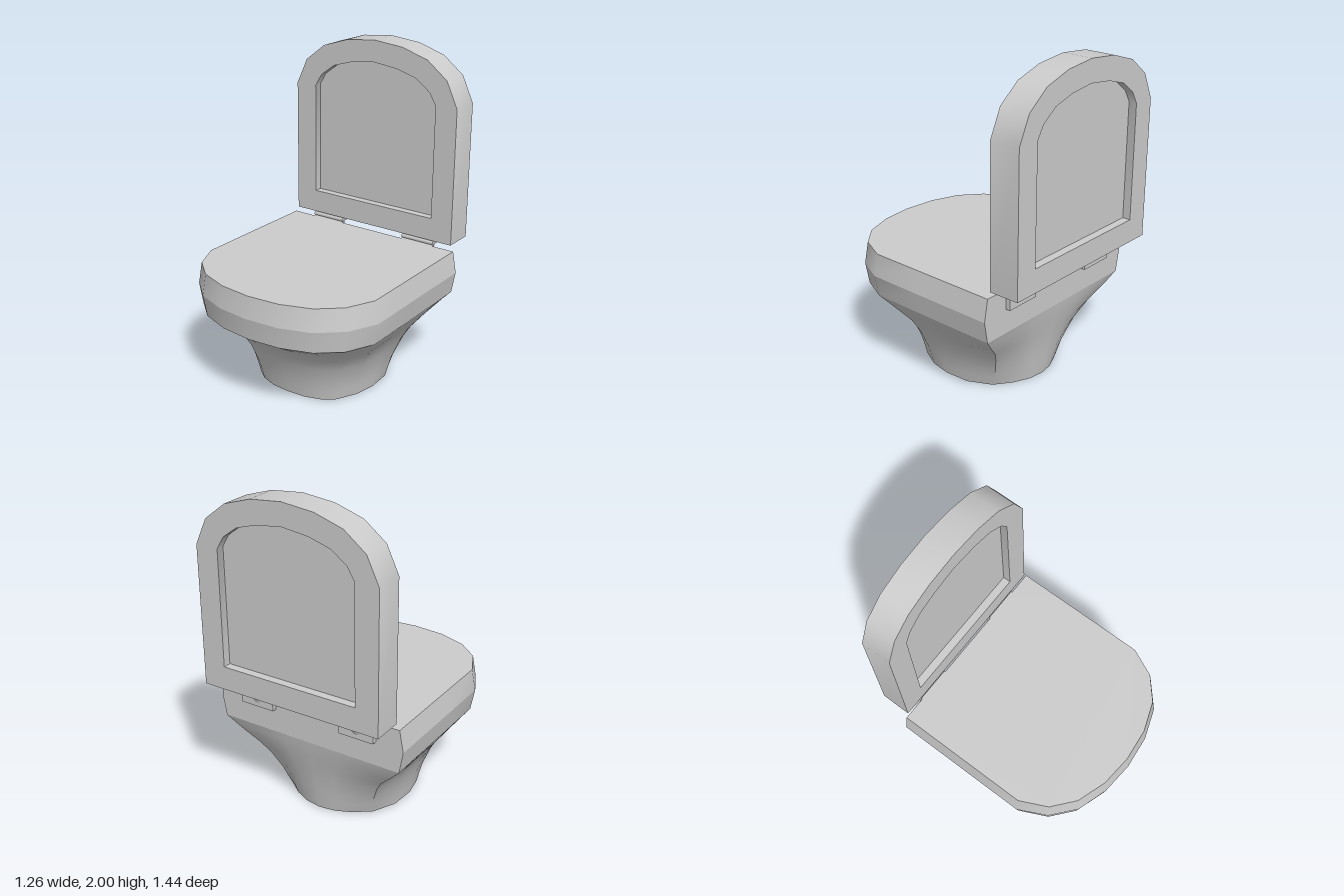
import * as THREE from 'three';
import { toCreasedNormals, mergeGeometries } from 'three/addons/utils/BufferGeometryUtils.js';

const material = new THREE.MeshStandardMaterial({ color: 0xcccccc });
const CREASE = 0.6;

// Half outlines [x, z] from front centre round the +x side to back centre
const RIM_EDGE = [[0, 0.70], [0.205, 0.68], [0.39, 0.615], [0.525, 0.50], [0.605, 0.33], [0.605, 0],
  [0.605, -0.3], [0.605, -0.53], [0.4, -0.53], [0.2, -0.53], [0, -0.53]];
const RIM_MIDDLE = [[0, 0.72], [0.21, 0.70], [0.40, 0.635], [0.545, 0.51], [0.63, 0.335], [0.63, 0],
  [0.63, -0.3], [0.63, -0.53], [0.4, -0.53], [0.2, -0.53], [0, -0.53]];
const FOOT = [[0, 0.35], [0.12, 0.342], [0.215, 0.31], [0.29, 0.255], [0.355, 0.13], [0.38, 0],
  [0.37, -0.16], [0.30, -0.30], [0.2, -0.375], [0.1, -0.42], [0, -0.435]];

// Close a half outline by mirroring it in x
const mirrored = (half) => [...half, ...half.slice(1, -1).reverse().map(([x, y]) => [-x, y])];

// Skin stacked rings { y, half }, listed bottom to top
function band(rings) {
  const pos = [], index = [];
  let n = 0;
  rings.forEach(({ y, half }) => {
    const ring = mirrored(half);
    n = ring.length;
    ring.forEach(([x, z]) => pos.push(x, y, z));
  });
  for (let r = 0; r < rings.length - 1; r++) {
    for (let i = 0; i < n; i++) {
      const a = r * n + i, b = r * n + (i + 1) % n;
      index.push(a, b, b + n, a, b + n, a + n);
    }
  }
  const geo = new THREE.BufferGeometry();
  geo.setAttribute('position', new THREE.Float32BufferAttribute(pos, 3));
  geo.setIndex(index);
  return toCreasedNormals(geo, CREASE);
}

// Flat horizontal lid over an outline, facing up (1) or down (-1)
function cap(half, y, facing) {
  const shape = new THREE.Shape(mirrored(half).map(([x, z]) => new THREE.Vector2(x, -facing * z)));
  const geo = new THREE.ShapeGeometry(shape).rotateX(-facing * Math.PI / 2).translate(0, y, 0).toNonIndexed();
  geo.deleteAttribute('uv');
  return geo;
}

function add(parent, name, geo, x = 0, y = 0, z = 0) {
  const mesh = new THREE.Mesh(geo, material);
  mesh.name = name;
  mesh.position.set(x, y, z);
  parent.add(mesh);
  return mesh;
}

// Flared pedestal: each level blends foot to rim, separately for sides, front and back
function pedestalRings() {
  const levels = [[0, 0, 0, 0], [0.065, 0.05, 0.04, 0.12], [0.13, 0.11, 0.09, 0.22], [0.24, 0.27, 0.2, 0.42],
    [0.32, 0.44, 0.33, 0.6], [0.4, 0.7, 0.54, 0.79], [0.45, 0.85, 0.77, 0.9], [0.5, 1, 1, 1]];
  return levels.map(([y, side, front, back]) => ({
    y,
    half: FOOT.map(([x, z], i) => {
      const s = THREE.MathUtils.smoothstep(z, -0.3, 0.25);
      const t = back + (front - back) * s;
      return [x + (RIM_EDGE[i][0] - x) * side, z + (RIM_EDGE[i][1] - z) * t];
    }),
  }));
}

// Arched outline [x, y] as a path or shape
const arch = (Kind, half) => new Kind(mirrored(half).map(([x, y]) => new THREE.Vector2(x, y)));

export function createModel() {
  const model = new THREE.Group();
  model.name = 'toilet';

  // Bowl: pedestal and bevelled rim with a flat top
  add(model, 'pedestal', mergeGeometries([band(pedestalRings()), cap(FOOT, 0, -1)]));
  add(model, 'rim', mergeGeometries([
    band([{ y: 0.5, half: RIM_EDGE }, { y: 0.635, half: RIM_MIDDLE }]),
    band([{ y: 0.635, half: RIM_MIDDLE }, { y: 0.77, half: RIM_EDGE }]),
    cap(RIM_EDGE, 0.77, 1),
    cap(RIM_EDGE, 0.5, -1),
  ]));

  // Raised lid: thick arched frame around a panel recessed on both faces
  const outer = [[0, 0.805], [0.585, 0.805], [0.585, 1.66], [0.51, 1.82], [0.375, 1.925], [0.2, 1.98], [0, 2]];
  const inner = [[0, 0.95], [0.44, 0.95], [0.44, 1.66], [0.395, 1.735], [0.30, 1.805], [0.165, 1.845], [0, 1.865]];
  const frame = arch(THREE.Shape, outer);
  frame.holes.push(arch(THREE.Path, inner));
  const extrude = (shape, depth) =>
    toCreasedNormals(new THREE.ExtrudeGeometry(shape, { depth, bevelEnabled: false }), CREASE);
  const lid = new THREE.Group();
  lid.name = 'lid';
  model.add(lid);
  add(lid, 'lidFrame', extrude(frame, 0.19), 0, 0, -0.72);
  add(lid, 'lidPanel', extrude(arch(THREE.Shape, inner), 0.09), 0, 0, -0.67);

  // Two hinges: a leaf under the lid, a leaf behind the rim, a pin and screw heads
  for (const side of [-1, 1]) {
    const hinge = new THREE.Group();
    hinge.name = side > 0 ? 'leftHinge' : 'rightHinge';
    hinge.position.x = side * 0.342;
    model.add(hinge);
    add(hinge, 'lidLeaf', new THREE.BoxGeometry(0.225, 0.03, 0.11), 0, 0.79, -0.615);
    add(hinge, 'rimLeaf', new THREE.BoxGeometry(0.225, 0.12, 0.03), 0, 0.71, -0.545);
    add(hinge, 'hingePin', new THREE.CylinderGeometry(0.014, 0.014, 0.225, 8).rotateZ(Math.PI / 2), 0, 0.784, -0.547);
    const screw = new THREE.ConeGeometry(0.035, 0.016, 12);
    add(hinge, 'lidScrew', screw, 0, 0.767, -0.615).rotation.x = Math.PI;
    add(hinge, 'rimScrew', screw, 0, 0.71, -0.568).rotation.x = -Math.PI / 2;
  }
  return model;
}
